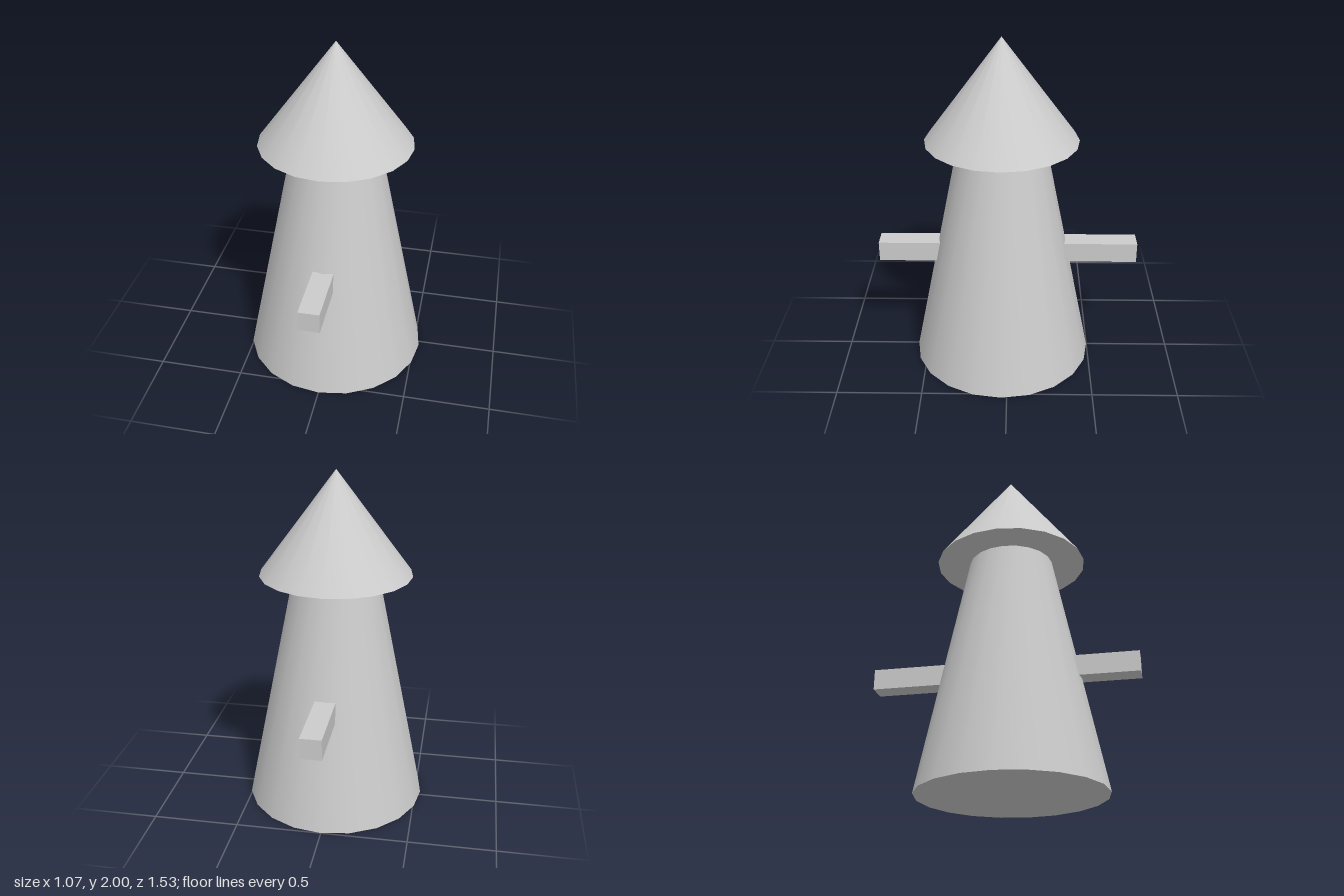
import * as THREE from 'three';

const SIDES = 20;
const AXIS_Z = 0.034; // the tower sits slightly forward of the beam's middle

export function createModel() {
  const group = new THREE.Group();
  const material = new THREE.MeshStandardMaterial({ color: 0xcccccc });

  function add(name, geometry, y, z) {
    const mesh = new THREE.Mesh(geometry, material);
    mesh.name = name;
    mesh.position.set(0, y, z);
    group.add(mesh);
  }

  // Tapered round tower
  add('tower', new THREE.CylinderGeometry(0.247, 0.533, 1.405, SIDES), 0.7025, AXIS_Z);

  // Overhanging conical roof, closed underneath
  add('roof', new THREE.ConeGeometry(0.44, 0.595, SIDES), 1.7025, AXIS_Z);

  // Square beam running through the tower from front to back
  add('crossBeam', new THREE.BoxGeometry(0.12, 0.12, 1.532), 0.705, 0);

  return group;
}
